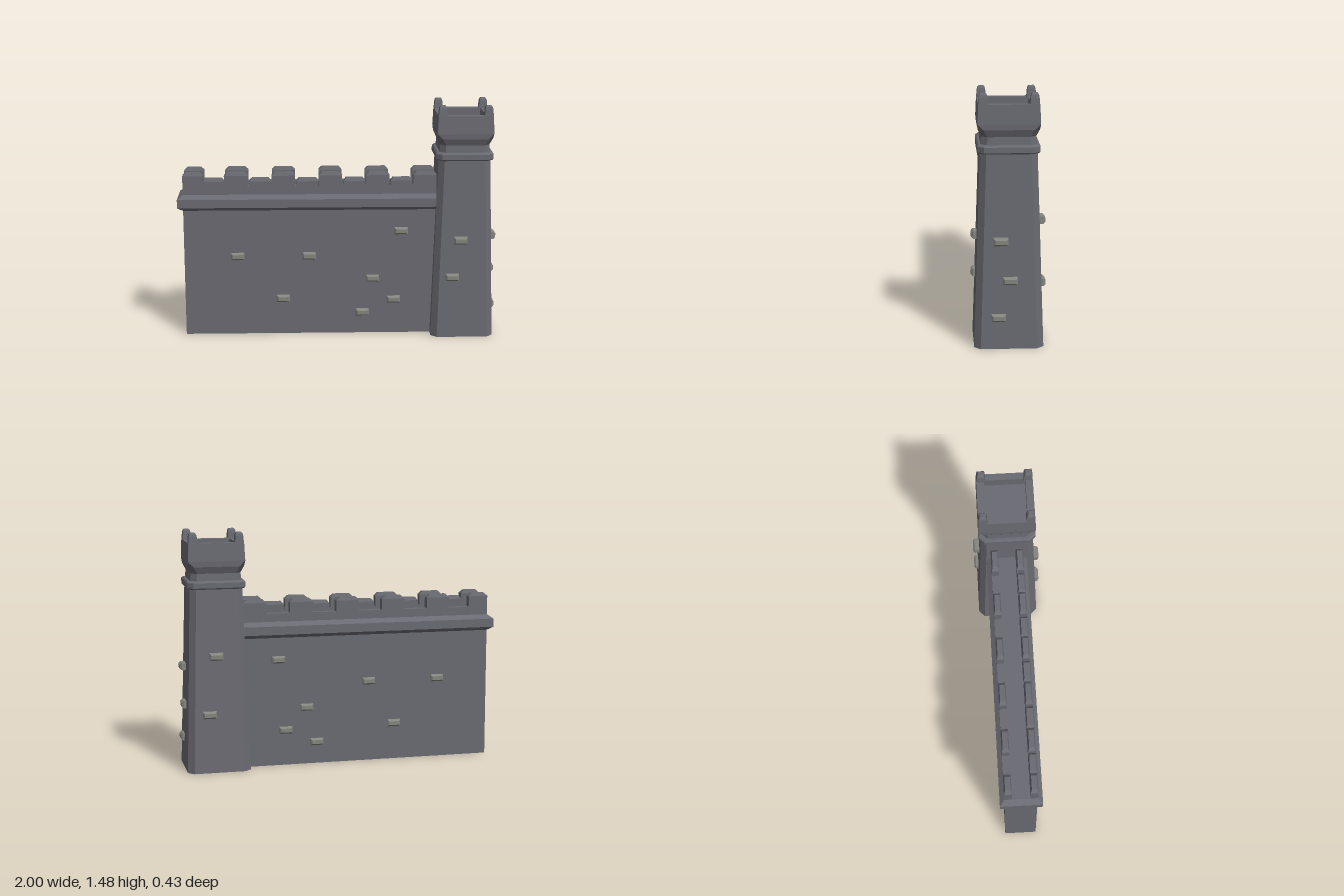
import * as THREE from 'three';

const stone = new THREE.MeshStandardMaterial({ color: 0x6a6a72 });
stone.name = 'grey stone';
const paleStone = new THREE.MeshStandardMaterial({ color: 0x85857f });
paleStone.name = 'pale brick';

// Stacks rectangular rings [y, halfX, halfZ, cornerCut] into a closed, faceted solid
function loft(rings) {
  const cut = rings.some((r) => r[3]);
  const loops = rings.map(([y, hx, hz, c = 0]) => {
    const pts = cut
      ? [[hx, -hz + c], [hx, hz - c], [hx - c, hz], [-hx + c, hz],
        [-hx, hz - c], [-hx, -hz + c], [-hx + c, -hz], [hx - c, -hz]]
      : [[hx, -hz], [hx, hz], [-hx, hz], [-hx, -hz]];
    return pts.map(([x, z]) => [x, y, z]);
  });
  const n = loops[0].length;
  const pos = [];
  const tri = (a, b, c) => pos.push(...a, ...b, ...c);
  for (let k = 0; k < loops.length - 1; k++) {
    for (let i = 0; i < n; i++) {
      const j = (i + 1) % n;
      tri(loops[k][i], loops[k + 1][i], loops[k][j]);
      tri(loops[k][j], loops[k + 1][i], loops[k + 1][j]);
    }
  }
  const bottom = loops[0], top = loops[loops.length - 1];
  for (let i = 1; i < n - 1; i++) {
    tri(bottom[0], bottom[i], bottom[i + 1]);
    tri(top[0], top[i + 1], top[i]);
  }
  const geo = new THREE.BufferGeometry();
  geo.setAttribute('position', new THREE.Float32BufferAttribute(pos, 3));
  geo.computeVertexNormals();
  return geo;
}

function add(parent, name, geo, material, x = 0, y = 0, z = 0) {
  const mesh = new THREE.Mesh(geo, material);
  mesh.name = name;
  mesh.position.set(x, y, z);
  parent.add(mesh);
  return mesh;
}

// Bevelled brick whose outer face looks along +z, turned about y
const brickGeo = loft([[-0.06, 0.042, 0.022], [-0.012, 0.042, 0.022], [0, 0.032, 0.012]]);
function addBrick(parent, x, y, z, turn) {
  const brick = add(parent, 'brick', brickGeo, paleStone, x, y, z);
  brick.rotation.set(Math.PI / 2, turn, 0, 'YXZ');
}

function buildWall() {
  const wall = new THREE.Group();
  wall.name = 'wall';
  const cx = -0.15;
  add(wall, 'wallBody', loft([[0, 0.815, 0.1], [0.815, 0.815, 0.1]]), stone, cx);
  add(wall, 'ledge', loft([
    [0.812, 0.815, 0.1], [0.835, 0.85, 0.13], [0.888, 0.85, 0.13], [0.914, 0.815, 0.102],
  ]), stone, cx);

  // Parapets with a tall row of merlons on both sides
  for (const side of [1, -1]) {
    const z = side * 0.079;
    add(wall, 'parapet', loft([[0.91, 0.815, 0.023], [0.965, 0.815, 0.023]]), stone, cx, 0, z);
    for (let i = 0; i < 6; i++) {
      const hx = i === 0 ? 0.062 : 0.073;
      const x = i === 0 ? -0.903 : -0.634 + (i - 1) * 0.2948;
      add(wall, 'merlon', loft([
        [0.96, hx, 0.023], [1.033, hx, 0.023], [1.053, hx - 0.02, 0.016],
      ]), stone, x, 0, z);
    }
  }
  // Low blocks fill the gaps along the front
  for (let i = 0; i < 5; i++) {
    add(wall, 'lowMerlon', loft([
      [0.965, 0.071, 0.026], [0.998, 0.066, 0.026], [1.016, 0.052, 0.019],
    ]), stone, -0.775 + i * 0.2932, 0, 0.08);
  }

  // Scattered bricks, the same on front and back
  const spots = [[-0.63, 0.515], [-0.18, 0.515], [-0.345, 0.235], [0.222, 0.365],
    [0.355, 0.225], [0.157, 0.14], [0.4, 0.675]];
  for (const [x, y] of spots) {
    addBrick(wall, x, y, 0.122, 0);
    addBrick(wall, x, y, -0.122, Math.PI);
  }
  return wall;
}

function buildTower() {
  const tower = new THREE.Group();
  tower.name = 'tower';
  tower.position.set(0.786, 0, 0.003);
  add(tower, 'towerShaft', loft([[0, 0.196, 0.2, 0.037], [1.14, 0.161, 0.163, 0.035]]), stone);
  add(tower, 'collar', loft([
    [1.135, 0.172, 0.172, 0.036], [1.143, 0.178, 0.178, 0.036],
    [1.175, 0.178, 0.178, 0.036], [1.185, 0.17, 0.17, 0.036],
  ]), stone);
  // Flared head with a sunken floor
  add(tower, 'towerHead', loft([
    [1.18, 0.157, 0.16, 0.037], [1.23, 0.153, 0.156, 0.035],
    [1.272, 0.172, 0.175, 0.032], [1.305, 0.174, 0.178, 0.001],
    [1.415, 0.169, 0.173, 0.001], [1.415, 0.125, 0.127, 0.001], [1.35, 0.125, 0.127, 0.001],
  ]), stone);
  const horn = loft([
    [1.405, 0.028, 0.028], [1.455, 0.024, 0.024], [1.47, 0.021, 0.021], [1.478, 0.014, 0.014],
  ]);
  for (const sx of [1, -1]) {
    for (const sz of [1, -1]) add(tower, 'cornerMerlon', horn, stone, sx * 0.141, 0, sz * 0.145);
  }

  // Bricks on the front, back and outer side
  for (const [x, y] of [[-0.019, 0.632], [-0.068, 0.393]]) addBrick(tower, x, y, 0.212, 0);
  for (const [x, y] of [[0.014, 0.725], [0.059, 0.365]]) addBrick(tower, x, y, -0.216, Math.PI);
  for (const [z, y] of [[0.047, 0.635], [-0.006, 0.405], [0.06, 0.186]]) {
    addBrick(tower, 0.213, y, z, Math.PI / 2);
  }
  return tower;
}

export function createModel() {
  const model = new THREE.Group();
  model.name = 'castleWallWithTower';
  model.add(buildWall(), buildTower());
  return model;
}
